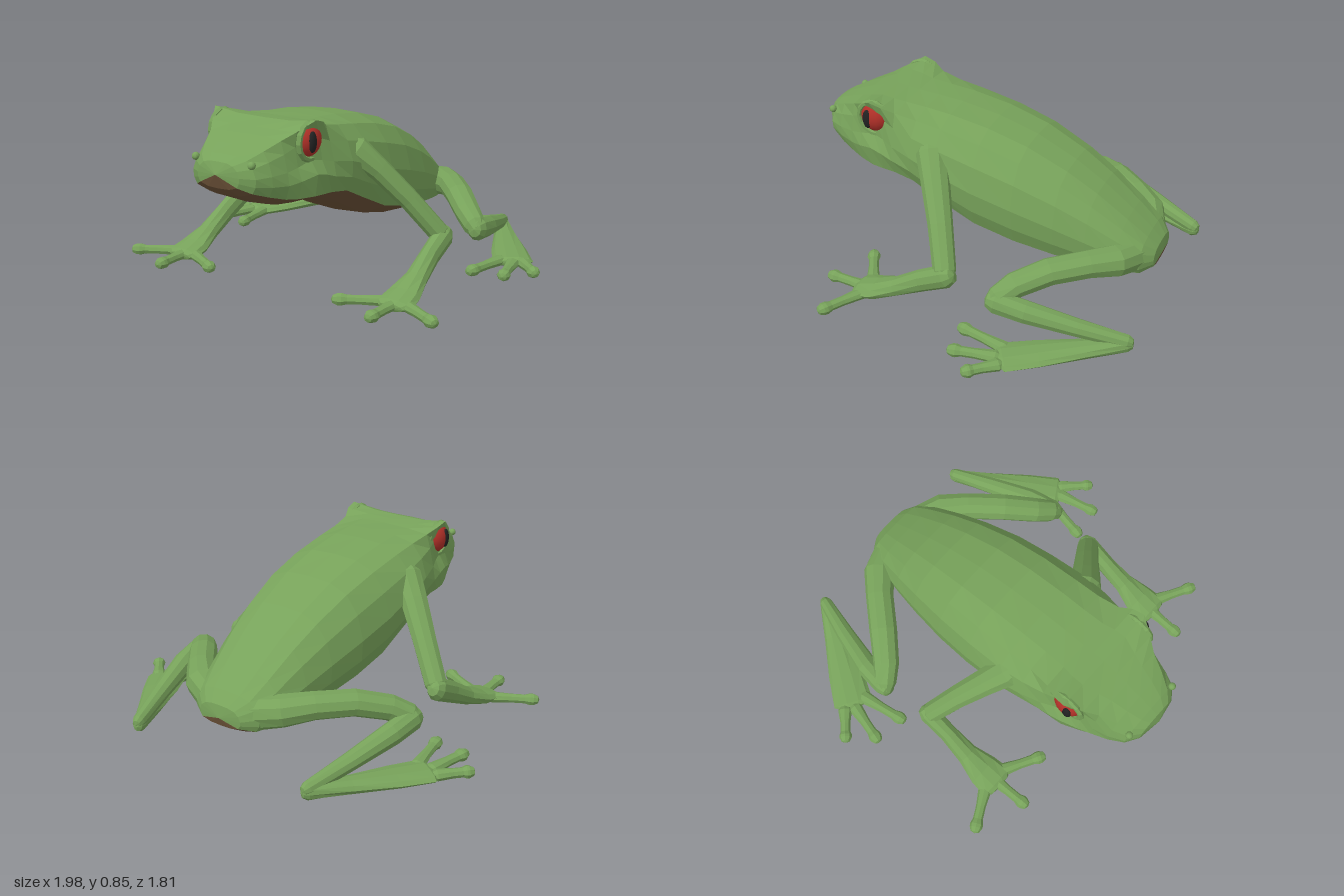
import * as THREE from 'three';

const mat = (color, opts = {}) => new THREE.MeshStandardMaterial({ color, ...opts });
const green = mat(0x77a25a, { flatShading: true });
const brown = mat(0x6b5137, { flatShading: true });
const red = mat(0xb03028);
const black = mat(0x222222);

// Skin a list of equally sized rings of Vector3; closed joins last to first point
function loft(rings, closed) {
  const n = rings[0].length, index = [];
  for (let i = 0; i < rings.length - 1; i++) {
    for (let j = 0; j < (closed ? n : n - 1); j++) {
      const a = i * n + j, b = i * n + (j + 1) % n;
      index.push(a, a + n, b, b, a + n, b + n);
    }
  }
  const g = new THREE.BufferGeometry().setFromPoints(rings.flat());
  g.setIndex(index);
  g.computeVertexNormals();
  return g;
}

function add(parent, name, geometry, material) {
  const m = new THREE.Mesh(geometry, material);
  m.name = name;
  parent.add(m);
  return m;
}

// Round-ended limb through nodes [x, y, z, half width, half height]; s mirrors x
function limb(nodes, s, sides = 10) {
  const c = nodes.map(([x, y, z]) => new THREE.Vector3(s * x, y, z));
  const up = new THREE.Vector3(0, 1, 0), rings = [];
  const last = c.length - 1;
  const ring = (i, shift, k) => {
    const t = new THREE.Vector3();
    if (i > 0) t.add(c[i].clone().sub(c[i - 1]).normalize());
    if (i < last) t.add(c[i + 1].clone().sub(c[i]).normalize());
    t.normalize();
    const side = t.clone().cross(up).normalize(), top = side.clone().cross(t);
    const [, , , w, h] = nodes[i], r = Math.min(w, h);
    rings.push(Array.from({ length: sides }, (_, j) => {
      const a = (j / sides) * Math.PI * 2;
      return c[i].clone().addScaledVector(t, shift * r)
        .addScaledVector(side, Math.cos(a) * w * k)
        .addScaledVector(top, Math.sin(a) * h * k);
    }));
  };
  ring(0, -1, 0);
  ring(0, -0.75, 0.66);
  c.forEach((_, i) => ring(i, 0, 1));
  ring(last, 0.75, 0.66);
  ring(last, 1, 0);
  return loft(rings, true);
}

// Thin toe from the palm to a bulbous tip
function toe(a, b, s) {
  const at = (k) => a.map((v, i) => v + (b[i] - v) * k);
  return limb([
    [...at(0), 0.036, 0.026], [...at(0.5), 0.025, 0.023],
    [...at(0.8), 0.025, 0.023], [...at(0.92), 0.033, 0.03], [...at(1), 0.032, 0.029],
  ], s, 8);
}

// Half cross-sections, top to bottom: [fraction of width, fraction of height]
const trunk = [[0, 1], [0.4, 0.985], [0.7, 0.91], [0.9, 0.74], [1, 0.5], [0.98, 0.3], [0.88, 0.13], [0.5, 0.02], [0, 0]];
const skull = [[0, 0.95], [0.5, 0.955], [0.95, 1], [0.82, 0.8], [0.85, 0.55], [0.98, 0.4], [0.93, 0.15], [0.5, 0.03], [0, 0]];
const LIP = 6;

// Body stations, rump to snout: [z, half width, bottom, top, skull blend]
const stations = [
  [-0.86, 0, 0.25, 0.25, 0], [-0.85, 0.12, 0.21, 0.31, 0], [-0.8, 0.19, 0.185, 0.36, 0],
  [-0.7, 0.225, 0.17, 0.44, 0], [-0.55, 0.26, 0.175, 0.55, 0], [-0.4, 0.29, 0.19, 0.64, 0],
  [-0.2, 0.32, 0.22, 0.73, 0], [0, 0.335, 0.27, 0.785, 0], [0.2, 0.34, 0.37, 0.815, 0],
  [0.33, 0.33, 0.44, 0.825, 0.1], [0.44, 0.315, 0.455, 0.835, 0.4], [0.5, 0.31, 0.455, 0.85, 0.8],
  [0.56, 0.3, 0.455, 0.86, 1], [0.64, 0.27, 0.465, 0.825, 0.7], [0.7, 0.245, 0.48, 0.8, 0.4],
  [0.78, 0.215, 0.515, 0.765, 0.2], [0.85, 0.175, 0.55, 0.73, 0], [0.89, 0.115, 0.585, 0.705, 0],
  [0.91, 0, 0.65, 0.65, 0],
];

function bodyPoint([z, w, bottom, top, mix], i, s) {
  const u = THREE.MathUtils.lerp(trunk[i][0], skull[i][0], mix);
  const v = THREE.MathUtils.lerp(trunk[i][1], skull[i][1], mix);
  return new THREE.Vector3(s * u * w, bottom + v * (top - bottom), z);
}

export function createModel() {
  const model = new THREE.Group();
  model.name = 'frog';

  // Back and head above the lip line, belly and throat below it
  const back = [], belly = [];
  for (const st of stations) {
    const b = [], u = [];
    for (let k = -LIP; k <= LIP; k++) b.push(bodyPoint(st, Math.abs(k), Math.sign(k)));
    const end = trunk.length - 1;
    for (let k = LIP - end; k <= end - LIP; k++) u.push(bodyPoint(st, end - Math.abs(k), -Math.sign(k)));
    back.push(b);
    belly.push(u);
  }
  add(model, 'body', loft(back, false), green);
  add(model, 'belly', loft(belly, false), brown);

  for (const s of [1, -1]) {
    const side = new THREE.Group();
    side.name = s > 0 ? 'leftSide' : 'rightSide';
    model.add(side);

    // Eye with pupil and lid
    const ball = (name, p, r, m) => {
      const e = add(side, name, new THREE.SphereGeometry(1, 16, 12), m);
      e.position.set(s * p[0], p[1], p[2]);
      e.scale.set(...r);
    };
    ball('eye', [0.225, 0.765, 0.555], [0.065, 0.078, 0.078], red);
    ball('pupil', [0.277, 0.765, 0.578], [0.016, 0.048, 0.024], black);
    ball('nostril', [0.155, 0.7, 0.853], [0.018, 0.018, 0.018], green);
    const lid = add(side, 'eyelid', new THREE.TorusGeometry(0.084, 0.014, 6, 14), green);
    lid.position.set(s * 0.248, 0.762, 0.555);
    lid.rotation.y = Math.PI / 2;

    // Front leg
    add(side, 'upperArm', limb([
      [0.27, 0.66, 0.23, 0.08, 0.07], [0.36, 0.57, 0.17, 0.07, 0.055],
      [0.48, 0.42, 0.085, 0.06, 0.05], [0.6, 0.255, 0.005, 0.055, 0.05],
    ], s), green);
    add(side, 'forearm', limb([
      [0.615, 0.24, -0.01, 0.048, 0.058], [0.615, 0.175, 0.12, 0.045, 0.055],
      [0.62, 0.105, 0.25, 0.055, 0.045], [0.62, 0.06, 0.36, 0.085, 0.04],
      [0.62, 0.042, 0.45, 0.095, 0.03],
    ], s), green);
    for (const tip of [[0.86, 0.042, 0.525], [0.61, 0.042, 0.622], [0.375, 0.042, 0.53]]) {
      const x = 0.62 + (tip[0] - 0.62) * 0.2;
      add(side, 'finger', toe([x, 0.042, 0.42], tip, s), green);
    }

    // Hind leg folded back on itself
    add(side, 'thigh', limb([
      [0.12, 0.27, -0.76, 0.07, 0.08], [0.24, 0.295, -0.7, 0.08, 0.075],
      [0.34, 0.31, -0.6, 0.07, 0.065], [0.46, 0.305, -0.46, 0.07, 0.062],
      [0.57, 0.265, -0.34, 0.065, 0.06], [0.64, 0.22, -0.285, 0.055, 0.06],
    ], s), green);
    add(side, 'shin', limb([
      [0.655, 0.21, -0.28, 0.05, 0.06], [0.635, 0.185, -0.42, 0.055, 0.055],
      [0.575, 0.13, -0.65, 0.045, 0.042], [0.51, 0.075, -0.87, 0.032, 0.036],
    ], s), green);
    add(side, 'hindFoot', limb([
      [0.51, 0.06, -0.87, 0.032, 0.038], [0.61, 0.05, -0.7, 0.06, 0.033],
      [0.72, 0.042, -0.52, 0.09, 0.03], [0.805, 0.038, -0.385, 0.1, 0.026],
    ], s), green);
    const toes = [
      [[0.86, 0.04, -0.39], [0.962, 0.043, -0.285]],
      [[0.815, 0.04, -0.36], [0.86, 0.043, -0.165]],
      [[0.745, 0.04, -0.37], [0.702, 0.043, -0.14]],
    ];
    for (const [a, b] of toes) add(side, 'toe', toe(a, b, s), green);
  }
  return model;
}
